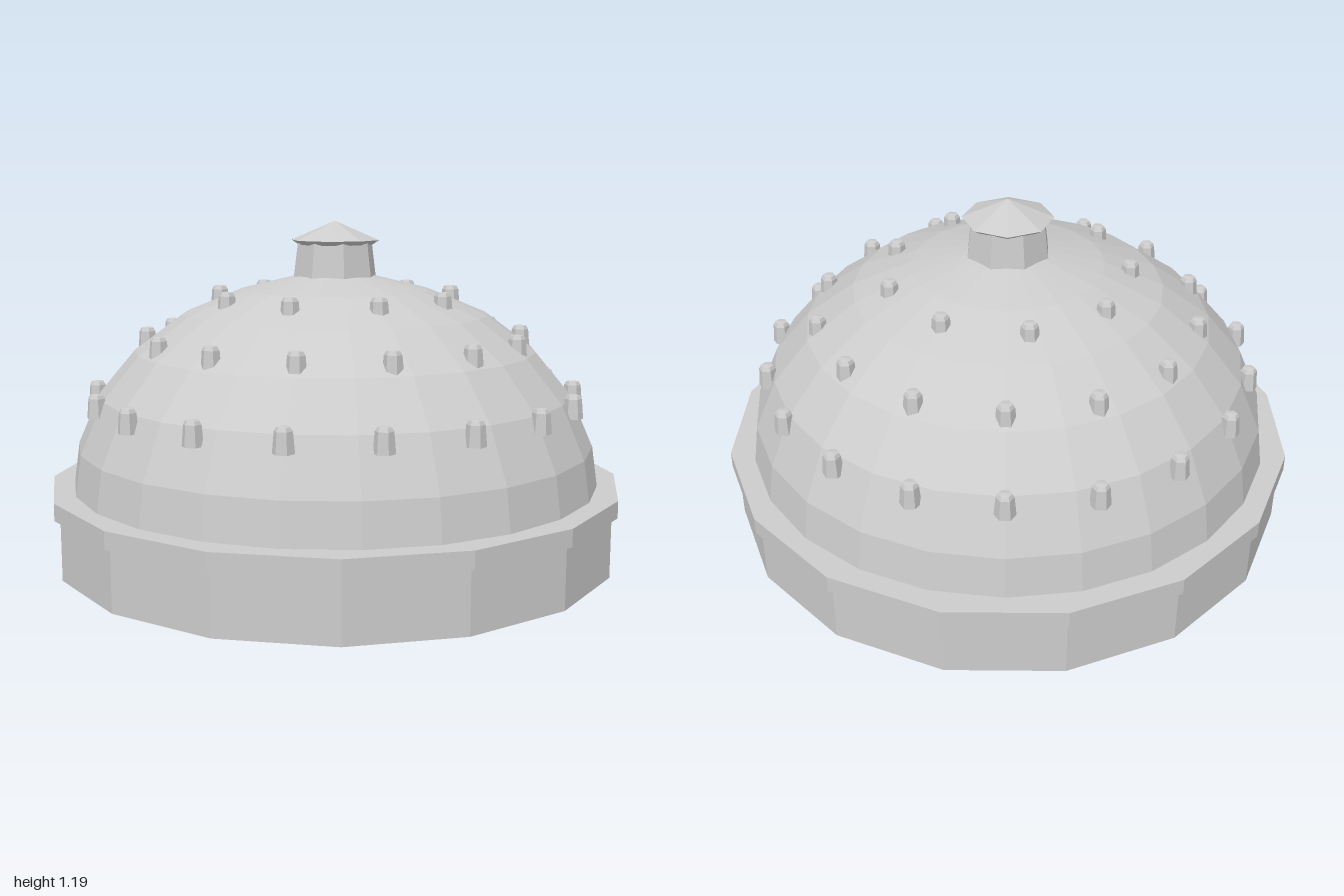
import * as THREE from 'three';

export function createModel() {
  const model = new THREE.Group();
  const grey = new THREE.MeshStandardMaterial({ color: 0xcccccc, flatShading: true });
  grey.name = 'pale grey';

  // Faceted solid of revolution from [radius, height] pairs, bottom to top
  function turned(name, profile, sides, turn = 0) {
    const points = profile.map(([r, y]) => new THREE.Vector2(r, y));
    const mesh = new THREE.Mesh(new THREE.LatheGeometry(points, sides, turn), grey);
    mesh.name = name;
    return mesh;
  }

  // Sixteen-sided drum and its overhanging rim, flat side to the front
  model.add(turned('base', [[0, 0], [1, 0], [1, 0.21]], 16, Math.PI / 16));
  model.add(turned('rim', [[0.98, 0.21], [1.02, 0.21], [1.02, 0.27], [0, 0.27]], 16, Math.PI / 16));

  // Dome
  model.add(turned('dome', [
    [0.936, 0.265], [0.915, 0.41], [0.836, 0.59], [0.71, 0.74],
    [0.54, 0.865], [0.335, 0.95], [0.13, 1.0], [0, 1.01],
  ], 24));

  // Lantern and its pointed cap
  model.add(turned('lantern', [[0.15, 0.98], [0.148, 1.0], [0.133, 1.12]], 8, Math.PI / 8));
  model.add(turned('lanternCap', [[0, 1.108], [0.135, 1.108], [0.157, 1.123], [0, 1.19]], 8));

  // Rings of upright hexagonal studs
  const studProfile = [[0, 0], [0.035, 0], [0.029, 0.068], [0.022, 0.08], [0, 0.083]];
  const rings = [
    { name: 'lowerStuds', count: 18, radius: 0.855, y: 0.537, start: 0 },
    { name: 'middleStuds', count: 14, radius: 0.667, y: 0.735, start: 0 },
    { name: 'upperStuds', count: 9, radius: 0.423, y: 0.875, start: -Math.PI / 2 },
  ];
  for (const { name, count, radius, y, start } of rings) {
    const ring = new THREE.Group();
    ring.name = name;
    for (let i = 0; i < count; i++) {
      const a = start + (i / count) * Math.PI * 2;
      const stud = turned('stud', studProfile, 6, Math.PI / 6);
      stud.position.set(Math.sin(a) * radius, y, Math.cos(a) * radius);
      ring.add(stud);
    }
    model.add(ring);
  }
  return model;
}
